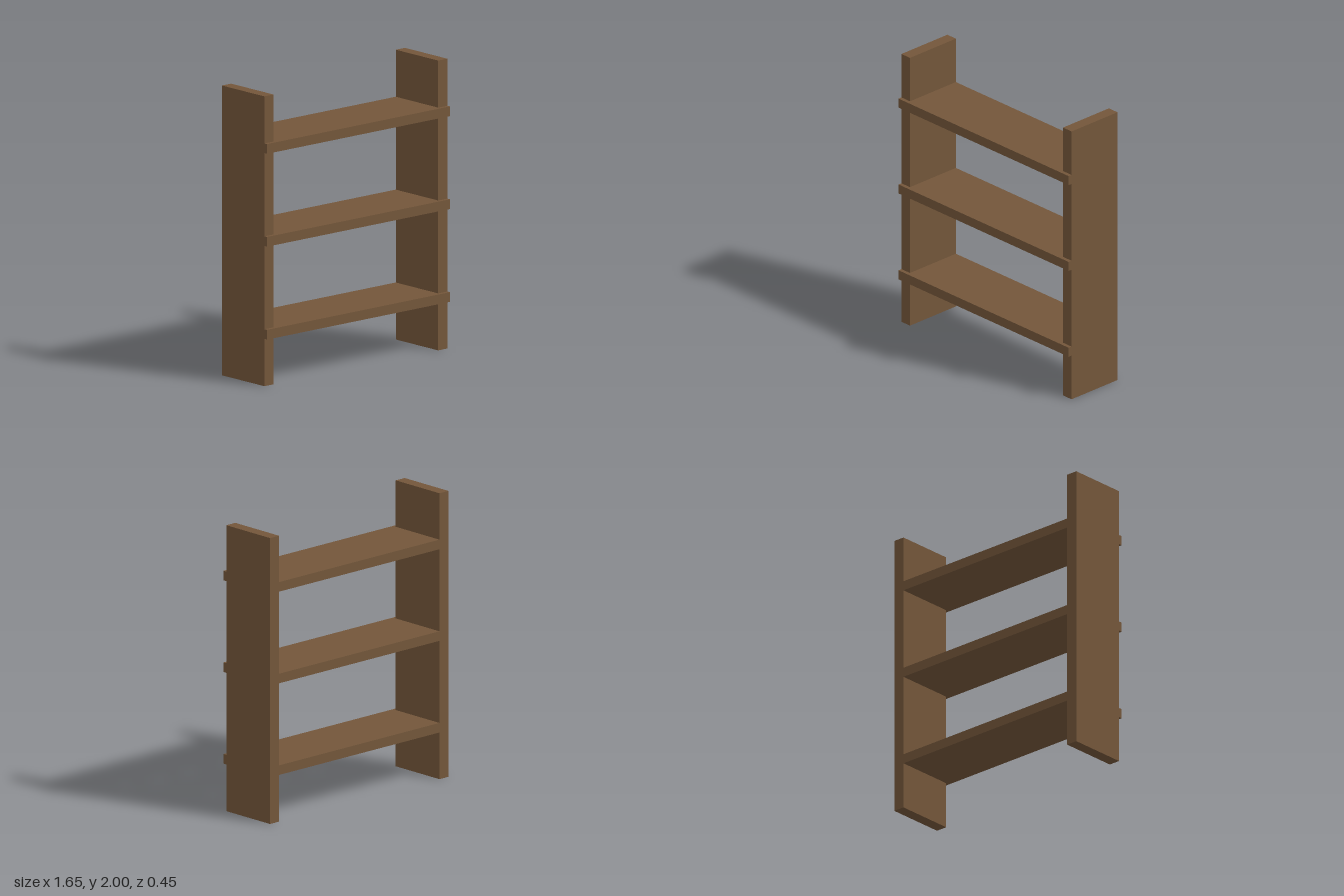
import * as THREE from 'three';

const HALF_W = 0.825, INNER = 0.742, BACK = -0.227, SIDE_FRONT = 0.2, LIP_FRONT = 0.227;
const SHELF_T = 0.067;

export function createModel() {
  const group = new THREE.Group();
  const wood = new THREE.MeshStandardMaterial({ color: 0x73563a });
  wood.name = 'brownWood';

  // Upright side boards
  const sideGeo = new THREE.BoxGeometry(HALF_W - INNER, 2, SIDE_FRONT - BACK);
  for (const s of [1, -1]) {
    const side = new THREE.Mesh(sideGeo, wood);
    side.name = s > 0 ? 'leftSideBoard' : 'rightSideBoard';
    side.position.set(s * (HALF_W + INNER) / 2, 1, (SIDE_FRONT + BACK) / 2);
    group.add(side);
  }

  // Shelf plan: board between the sides with a front edge overlapping them
  // (shape y becomes -z once laid flat)
  const plan = new THREE.Shape([
    [-HALF_W, -LIP_FRONT], [HALF_W, -LIP_FRONT], [HALF_W, -SIDE_FRONT], [INNER, -SIDE_FRONT],
    [INNER, -BACK], [-INNER, -BACK], [-INNER, -SIDE_FRONT], [-HALF_W, -SIDE_FRONT],
  ].map(([x, y]) => new THREE.Vector2(x, y)));
  const shelfGeo = new THREE.ExtrudeGeometry(plan, { depth: SHELF_T, bevelEnabled: false });
  shelfGeo.rotateX(-Math.PI / 2);
  shelfGeo.translate(0, -SHELF_T / 2, 0);

  ['lowerShelf', 'middleShelf', 'upperShelf'].forEach((name, i) => {
    const shelf = new THREE.Mesh(shelfGeo, wood);
    shelf.name = name;
    shelf.position.y = 0.36 + i * 0.641;
    group.add(shelf);
  });

  return group;
}
